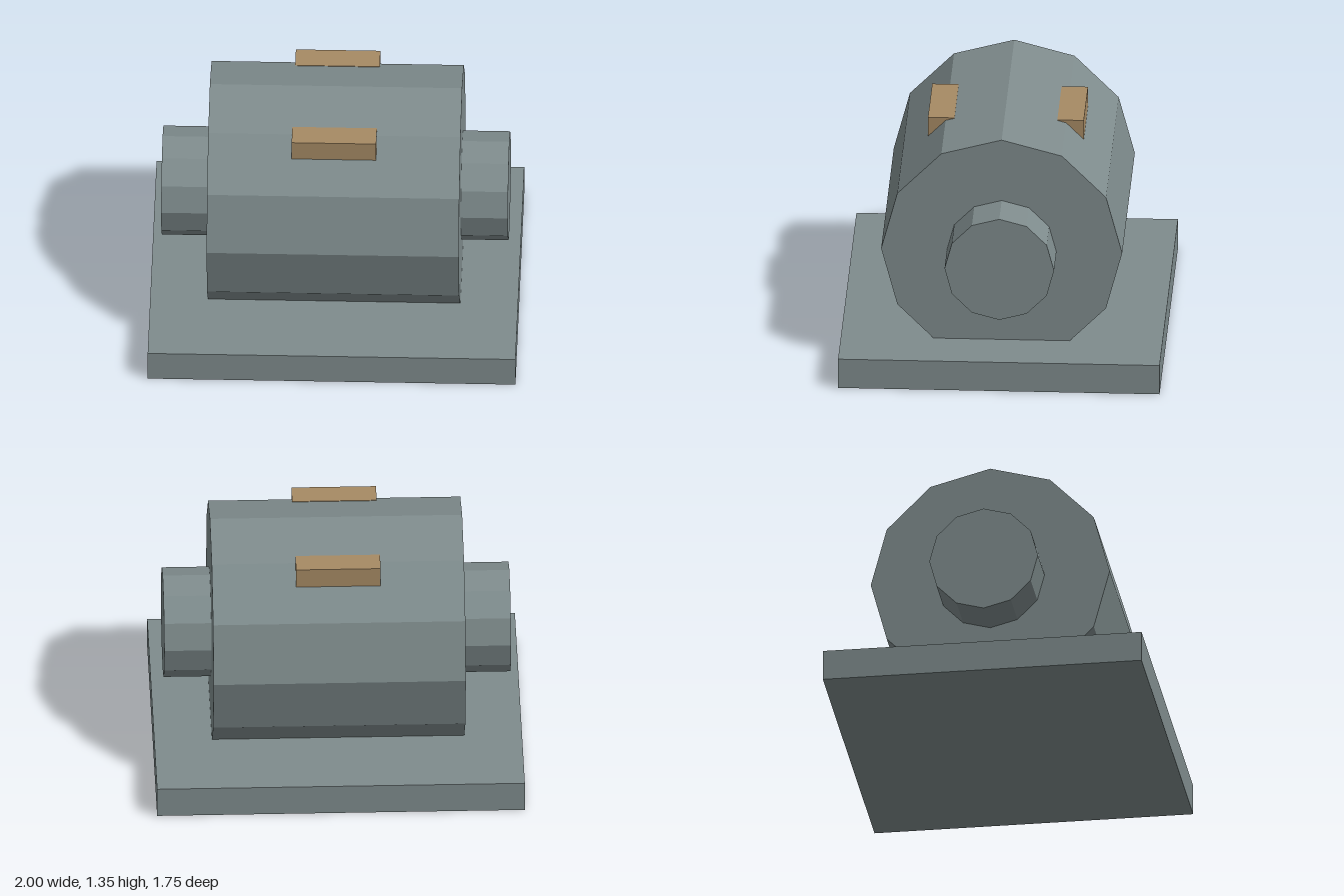
import * as THREE from 'three';

export function createModel() {
  const group = new THREE.Group();
  const steel = new THREE.MeshStandardMaterial({ color: 0x7f8c8d });
  steel.name = 'grey steel';
  const tan = new THREE.MeshStandardMaterial({ color: 0xa68a64 });
  tan.name = 'tan';

  const add = (name, geometry, material, x, y, z) => {
    const mesh = new THREE.Mesh(geometry, material);
    mesh.name = name;
    mesh.position.set(x, y, z);
    group.add(mesh);
  };
  // Twelve-sided faceted cylinder lying along x
  const barrel = (radius, length) => {
    const g = new THREE.CylinderGeometry(radius, radius, length, 12).rotateZ(Math.PI / 2).toNonIndexed();
    g.computeVertexNormals();
    return g;
  };

  const axisY = 0.695, drumLength = 1.372, stubLength = 0.257;

  // Mounting plate and drum
  add('basePlate', new THREE.BoxGeometry(2, 0.17, 1.75), steel, 0, 0.085, 0);
  add('drum', barrel(0.656, drumLength), steel, 0, axisY, 0);

  for (const side of [1, -1]) {
    // Shaft stub at each end of the drum
    add(side > 0 ? 'leftShaft' : 'rightShaft', barrel(0.298, stubLength), steel,
      side * (drumLength + stubLength) / 2, axisY, 0);
    // Lug let into the upper flank of the drum
    add(side > 0 ? 'frontLug' : 'backLug', new THREE.BoxGeometry(0.46, 0.11, 0.144), tan,
      0, 1.224, side * 0.352);
  }
  return group;
}
